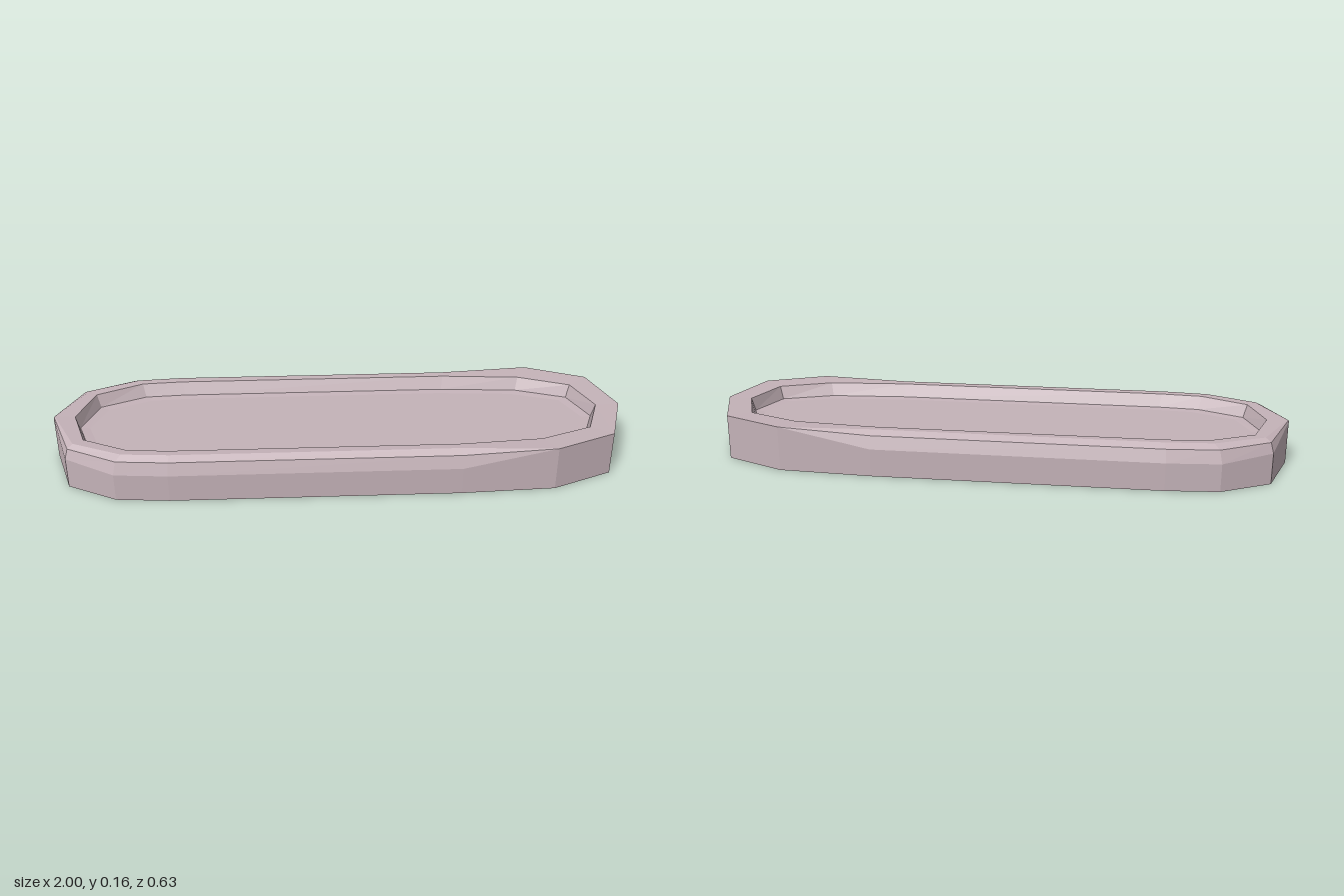
import * as THREE from 'three';

// Half plan: outer x,z, inner lip x,z, bevel strength
const HALF = [
  [-1, 0, -0.925, 0, 0.1],
  [-0.93, 0.21, -0.873, 0.16, 0.8],
  [-0.76, 0.30, -0.715, 0.237, 1],
  [-0.58, 0.315, -0.57, 0.247, 1],
  [0.4, 0.315, 0.4, 0.247, 1],
  [0.72, 0.30, 0.68, 0.225, 0],
  [0.93, 0.21, 0.86, 0.155, 0],
  [1, 0, 0.918, 0, 0],
];
const TOP = 0.156;
const FLOOR = 0.108;

// Cross-section through the rim at one plan point, from outer base to floor
function section([ox, oz, ix, iz, b]) {
  const at = (t, y) => new THREE.Vector3(ox + (ix - ox) * t, y, oz + (iz - oz) * t);
  return [
    at(0, 0),
    at(0, TOP - 0.06 * b),
    at(0.2 * b, TOP - 0.016 * b),
    at(0.57 * b, TOP - 0.002 * b),
    at(1, TOP - 0.003),
    new THREE.Vector3(ix * 0.985, FLOOR, iz * 0.92),
    new THREE.Vector3(ix * 0.95, FLOOR - 0.003, iz * 0.82),
  ];
}

// Triangle list to geometry, dropping collapsed faces
function toGeometry(triangles) {
  const points = triangles
    .filter(([a, b, c]) => new THREE.Triangle(a, b, c).getArea() > 1e-7)
    .flat();
  const geometry = new THREE.BufferGeometry().setFromPoints(points);
  geometry.computeVertexNormals();
  return geometry;
}

export function createModel() {
  const group = new THREE.Group();
  group.name = 'tray';
  const clay = new THREE.MeshStandardMaterial({ color: 0xc4b2b8, flatShading: true });
  clay.name = 'dusty pink';

  const mirrored = HALF.slice(1, -1).reverse().map(([a, z, c, iz, b]) => [a, -z, c, -iz, b]);
  const sections = [...HALF, ...mirrored].map(section);
  const last = sections[0].length - 1;
  const rim = [], floor = [], base = [];
  const floorCentre = new THREE.Vector3(0, FLOOR - 0.003, 0);
  const baseCentre = new THREE.Vector3(0, 0, 0);

  sections.forEach((s, j) => {
    const n = sections[(j + 1) % sections.length];
    for (let k = 0; k < last; k++) {
      const part = k < last - 1 ? rim : floor;
      part.push([s[k], n[k], n[k + 1]], [s[k], n[k + 1], s[k + 1]]);
    }
    floor.push([s[last], n[last], floorCentre]);
    base.push([n[0], s[0], baseCentre]);
  });

  for (const [name, triangles] of Object.entries({ rim, floor, base })) {
    const mesh = new THREE.Mesh(toGeometry(triangles), clay);
    mesh.name = name;
    group.add(mesh);
  }
  return group;
}
